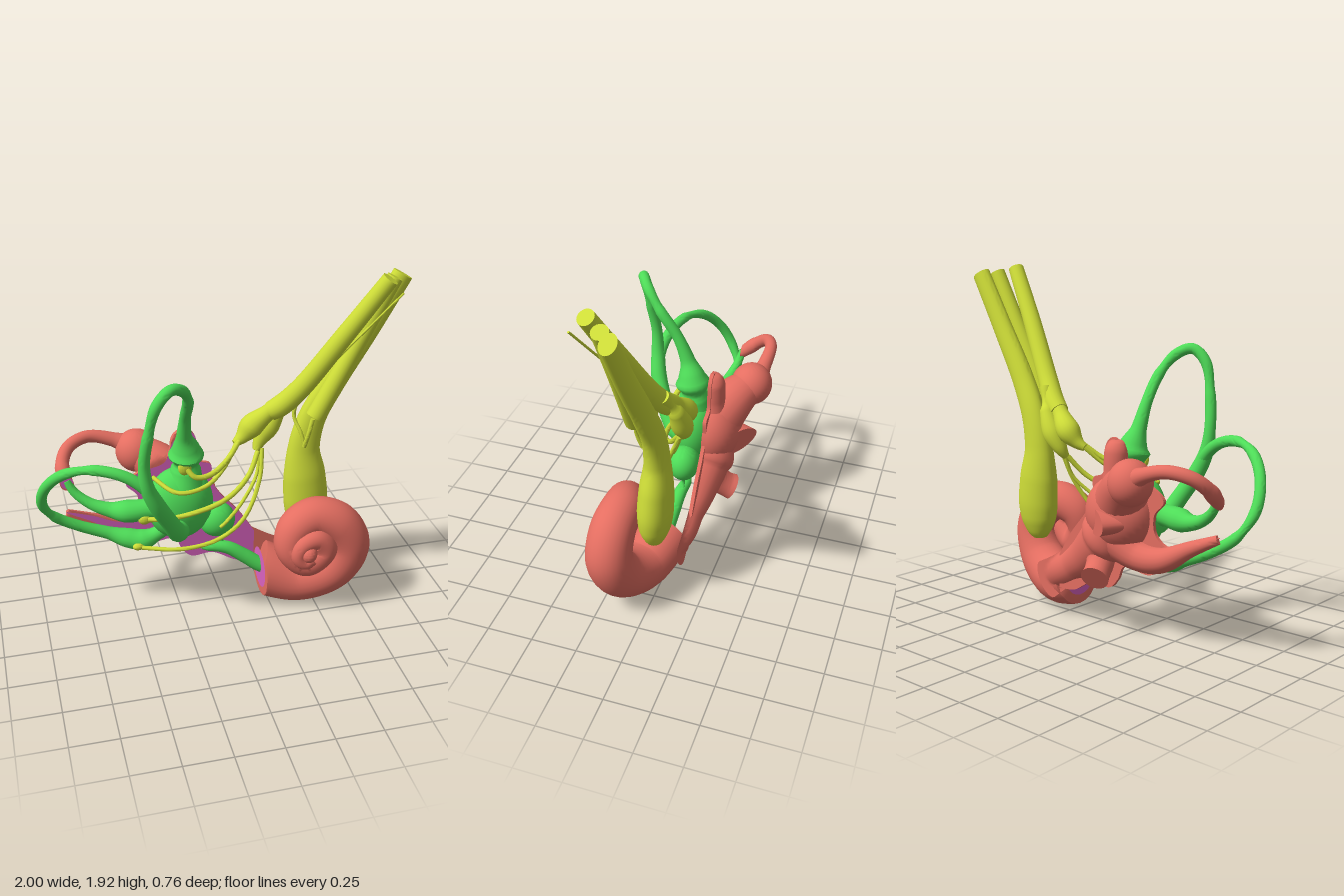
import * as THREE from 'three';
import { toCreasedNormals } from 'three/addons/utils/BufferGeometryUtils.js';

const bone = new THREE.MeshStandardMaterial({ color: 0xe46e61 });
bone.name = 'bone red';
const cutFace = new THREE.MeshStandardMaterial({ color: 0xdc64c2 });
cutFace.name = 'cut magenta';
const membrane = new THREE.MeshStandardMaterial({ color: 0x4edc58 });
membrane.name = 'membrane green';
const nerve = new THREE.MeshStandardMaterial({ color: 0xcedd38 });
nerve.name = 'nerve yellow';

const CUT_Z = -0.1, CUT_X = 0.21;
const behindCut = (v) => { v.z = Math.min(v.z, CUT_Z); };
const rightOfCut = (v) => { v.x = Math.max(v.x, CUT_X); };
const flatten = (v) => { v.z *= 0.74; };

// Moves every vertex by a rule, then smooths the normals but keeps sharp edges
function reshape(geo, rule, crease = 0.9) {
  const pos = geo.attributes.position, v = new THREE.Vector3();
  for (let i = 0; i < pos.count; i++) {
    v.fromBufferAttribute(pos, i);
    rule(v, i);
    pos.setXYZ(i, v.x, v.y, v.z);
  }
  return toCreasedNormals(geo, crease);
}

// Capped tube through [x, y, z, radius] stations
function sweep(stations, steps = 40, sides = 20, rule = null) {
  const path = new THREE.CatmullRomCurve3(stations.map((s) => new THREE.Vector3(s[0], s[1], s[2])));
  const radii = new THREE.CatmullRomCurve3(stations.map((s) => new THREE.Vector3(s[3], 0, 0)));
  const geo = new THREE.TubeGeometry(path, steps, 1, sides);
  const centres = [], sizes = [];
  for (let i = 0; i <= steps; i++) {
    const u = i / steps;
    centres.push(path.getPointAt(u));
    sizes.push(Math.max(0.001, radii.getPoint(path.getUtoTmapping(u)).x));
  }
  const last = steps;
  return reshape(geo, (v, i) => {
    const ring = Math.floor(i / (sides + 1));
    const end = ring === 0 || ring === last;
    v.sub(centres[ring]).multiplyScalar(end ? 0 : sizes[ring]);
    v.add(centres[ring === 0 ? 1 : ring === last ? last - 1 : ring]);
    if (rule) rule(v);
  });
}

function ellipsoid([x, y, z], [rx, ry, rz], rule = () => {}) {
  const geo = new THREE.SphereGeometry(1, 36, 24);
  geo.scale(rx, ry, rz).translate(x, y, z);
  return reshape(geo, rule);
}

export function createModel() {
  const model = new THREE.Group();
  const add = (name, geo, mat) => {
    const mesh = new THREE.Mesh(geo, mat);
    mesh.name = name;
    model.add(mesh);
    return mesh;
  };

  // Snail shell: a tapering spiral rising toward the front
  add('cochleaSpiral', sweep([
    [0.2, 0.2, 0.03, 0.155], [0.42, 0.138, 0.09, 0.138], [0.6, 0.22, 0.15, 0.13], [0.67, 0.38, 0.18, 0.125],
    [0.6, 0.52, 0.18, 0.12], [0.47, 0.57, 0.17, 0.11], [0.36, 0.52, 0.19, 0.1], [0.335, 0.42, 0.21, 0.09],
    [0.42, 0.33, 0.23, 0.085], [0.51, 0.41, 0.25, 0.075], [0.46, 0.485, 0.265, 0.062], [0.38, 0.47, 0.28, 0.052],
    [0.355, 0.41, 0.285, 0.046], [0.39, 0.365, 0.29, 0.043], [0.435, 0.395, 0.295, 0.04],
  ], 180, 28, rightOfCut), bone);
  add('cochleaApex', ellipsoid([0.405, 0.425, 0.305], [0.046, 0.05, 0.048]), bone);
  const shellCut = add('cochleaCutFace', new THREE.CircleGeometry(0.115, 32), cutFace);
  shellCut.rotation.y = -Math.PI / 2;
  shellCut.position.set(CUT_X - 0.004, 0.205, 0.045);

  // Bony shell behind the cutting plane
  add('vestibuleShell', ellipsoid([-0.22, 0.66, -0.1], [0.205, 0.2, 0.17], behindCut), bone);
  add('shellToCochlea', sweep([[-0.2, 0.6, -0.1, 0.14], [-0.1, 0.49, -0.09, 0.14], [0.03, 0.375, -0.075, 0.115],
    [0.13, 0.31, -0.06, 0.1], [0.22, 0.255, -0.05, 0.098], [0.34, 0.18, 0.03, 0.11]], 48, 24, behindCut), bone);
  add('lateralAmpullaShell', ellipsoid([-0.42, 0.87, -0.27], [0.115, 0.12, 0.115]), bone);
  add('lateralAmpullaNeck', sweep([[-0.24, 0.73, -0.12, 0.15], [-0.33, 0.82, -0.2, 0.12], [-0.42, 0.87, -0.27, 0.09]],
    20, 20, behindCut), bone);
  add('lateralCanalShell', sweep([[-0.43, 0.88, -0.29, 0.07], [-0.54, 0.93, -0.31, 0.04], [-0.68, 0.965, -0.31, 0.034],
    [-0.79, 0.94, -0.26, 0.035], [-0.835, 0.88, -0.19, 0.036], [-0.83, 0.82, -0.12, 0.036], [-0.82, 0.79, -0.07, 0.036]],
    50, 18, behindCut), bone);
  add('posteriorCanalShell', sweep([[-0.22, 0.52, -0.1, 0.13], [-0.36, 0.455, -0.12, 0.08], [-0.5, 0.46, -0.12, 0.066],
    [-0.68, 0.55, -0.11, 0.04], [-0.85, 0.63, -0.1, 0.022]], 40, 18, behindCut), bone);
  add('anteriorCanalShell', sweep([[-0.2, 0.75, -0.1, 0.11], [-0.195, 0.88, -0.11, 0.07], [-0.195, 0.98, -0.11, 0.066],
    [-0.19, 1.03, -0.1, 0.042], [-0.19, 1.05, -0.1, 0.01]], 30, 20, behindCut), bone);
  add('roundWindow', sweep([[-0.1, 0.45, -0.12, 0.1], [-0.125, 0.39, -0.16, 0.075], [-0.145, 0.345, -0.21, 0.07],
    [-0.16, 0.32, -0.25, 0.076]], 24, 24, behindCut), bone);
  const oval = new THREE.CylinderGeometry(1, 0.85, 0.14, 36);
  oval.rotateX(-Math.PI / 2).scale(0.15, 0.068, 1).rotateY(-0.57).translate(-0.21, 0.63, -0.2);
  add('ovalWindow', oval, bone);

  // Flat cut face and its red rim
  const outline = new THREE.Shape();
  outline.moveTo(0.21, 0.17);
  outline.splineThru([[0.1, 0.18], [-0.03, 0.25], [-0.15, 0.245], [-0.21, 0.3], [-0.26, 0.38], [-0.42, 0.365],
    [-0.55, 0.44], [-0.7, 0.55], [-0.84, 0.63], [-0.7, 0.59], [-0.55, 0.53], [-0.46, 0.58], [-0.45, 0.68],
    [-0.51, 0.76], [-0.43, 0.825], [-0.3, 0.865], [-0.25, 0.98], [-0.18, 1.05], [-0.125, 1.0], [-0.11, 0.86],
    [-0.04, 0.82], [-0.035, 0.72], [0.02, 0.62], [0.12, 0.5], [0.21, 0.36]].map((p) => new THREE.Vector2(...p)));
  const rim = new THREE.ExtrudeGeometry(outline, { depth: 0.02, curveSegments: 100, bevelEnabled: false });
  rim.translate(0, 0, CUT_Z - 0.021);
  add('shellRim', toCreasedNormals(rim, 0.7), bone);
  const face = new THREE.ShapeGeometry(outline, 100);
  face.translate(0, 0, CUT_Z + 0.003);
  add('shellCutFace', face, cutFace);
  const canalFace = new THREE.CircleGeometry(0.034, 24);
  canalFace.translate(-0.825, 0.81, CUT_Z + 0.003);
  add('lateralCanalCutFace', canalFace, cutFace);

  // Membranous sacs
  add('utricle', ellipsoid([-0.235, 0.66, -0.01], [0.183, 0.212, 0.128]), membrane);
  add('saccule', ellipsoid([-0.03, 0.53, 0], [0.1, 0.1, 0.085]), membrane);
  add('sacculeNeck', sweep([[-0.18, 0.62, 0, 0.09], [-0.1, 0.58, 0, 0.065], [-0.03, 0.53, 0, 0.065]], 16, 16), membrane);

  // Membranous canals
  add('anteriorCanal', sweep([[-0.21, 0.76, 0, 0.11], [-0.2, 0.88, 0, 0.08], [-0.2, 0.98, 0.01, 0.08],
    [-0.215, 1.08, 0.04, 0.042], [-0.22, 1.22, 0.1, 0.03], [-0.225, 1.36, 0.2, 0.029], [-0.27, 1.455, 0.28, 0.029],
    [-0.34, 1.485, 0.33, 0.029], [-0.41, 1.42, 0.35, 0.029], [-0.455, 1.25, 0.335, 0.029], [-0.475, 1.08, 0.31, 0.03],
    [-0.46, 0.95, 0.3, 0.038], [-0.41, 0.83, 0.28, 0.045], [-0.35, 0.71, 0.23, 0.046], [-0.29, 0.59, 0.16, 0.05],
    [-0.25, 0.54, 0.08, 0.05]], 120, 18), membrane);
  add('posteriorCanal', sweep([[-0.4, 0.81, 0.27, 0.035], [-0.45, 0.92, 0.29, 0.034], [-0.56, 1.01, 0.27, 0.03],
    [-0.72, 1.045, 0.22, 0.028], [-0.86, 1.0, 0.15, 0.028], [-0.95, 0.89, 0.07, 0.028], [-0.97, 0.76, 0, 0.028],
    [-0.91, 0.64, -0.06, 0.028], [-0.78, 0.55, -0.08, 0.03], [-0.62, 0.48, -0.08, 0.036], [-0.52, 0.445, -0.06, 0.055],
    [-0.44, 0.435, -0.04, 0.058], [-0.36, 0.47, -0.03, 0.04], [-0.28, 0.54, -0.02, 0.05]], 110, 18), membrane);
  add('lateralCanal', sweep([[-0.83, 0.83, -0.11, 0.02], [-0.79, 0.755, -0.09, 0.024], [-0.71, 0.69, -0.06, 0.03],
    [-0.61, 0.655, -0.03, 0.042], [-0.52, 0.65, 0, 0.062], [-0.43, 0.655, 0.01, 0.058], [-0.32, 0.66, 0, 0.08]],
    50, 18), membrane);

  // Duct that leads into the spiral
  add('cochlearDuct', sweep([[-0.13, 0.36, 0, 0.008], [-0.08, 0.36, 0, 0.028], [0.02, 0.345, 0.01, 0.036],
    [0.12, 0.28, 0.02, 0.04], [0.2, 0.22, 0.03, 0.042], [0.27, 0.18, 0.04, 0.04]], 40, 16), membrane);
  add('reuniensDuct', sweep([[0, 0.46, 0, 0.015], [-0.01, 0.41, 0, 0.01], [0.01, 0.35, 0, 0.012]], 12, 10), membrane);

  // Thick nerve trunks; the cochlear one is flattened and ends in a bulb
  add('cochlearNerve', sweep([[0.958, 1.88, 0.02, 0.056], [0.77, 1.56, 0.015, 0.062], [0.6, 1.28, 0, 0.07],
    [0.5, 1.08, -0.02, 0.078], [0.462, 0.9, -0.025, 0.09], [0.47, 0.74, -0.02, 0.118], [0.48, 0.6, -0.015, 0.125],
    [0.48, 0.5, -0.01, 0.113], [0.477, 0.42, -0.005, 0.075], [0.475, 0.385, 0, 0.04], [0.475, 0.37, 0, 0.005]],
    80, 26, flatten), nerve);
  add('facialNerve', sweep([[0.89, 1.89, 0.078, 0.042], [0.7, 1.54, 0.08, 0.045], [0.47, 1.12, 0.09, 0.05]], 40, 20), nerve);
  add('vestibularNerve', sweep([[0.828, 1.91, 0.17, 0.043], [0.62, 1.59, 0.1, 0.05], [0.42, 1.28, 0.02, 0.055],
    [0.33, 1.17, -0.025, 0.058], [0.26, 1.12, -0.05, 0.05]], 50, 20), nerve);
  add('upperGanglion', sweep([[0.36, 1.22, -0.01, 0.04], [0.26, 1.12, -0.05, 0.045], [0.18, 1.04, -0.075, 0.064],
    [0.12, 0.98, -0.065, 0.036], [0.07, 0.95, -0.05, 0.015]], 30, 18), nerve);
  add('lowerGanglion', sweep([[0.4, 1.26, -0.02, 0.04], [0.34, 1.14, -0.075, 0.04], [0.28, 1.02, -0.09, 0.058],
    [0.23, 0.94, -0.085, 0.038], [0.2, 0.88, -0.06, 0.014]], 30, 18), nerve);

  // Fine nerve branches: [radius, path]
  const branches = {
    anteriorAmpullaNerve: [0.015, [[0.11, 0.98, -0.05], [0.02, 0.9, 0.02], [-0.08, 0.86, 0.08], [-0.17, 0.865, 0.1], [-0.22, 0.92, 0.07]]],
    lateralAmpullaNerve: [0.012, [[0.1, 0.97, -0.06], [0, 0.86, 0.03], [-0.12, 0.8, 0.1], [-0.27, 0.79, 0.11], [-0.39, 0.84, -0.02]]],
    utricleNerve: [0.014, [[0.22, 0.91, -0.06], [0.14, 0.79, 0.02], [0, 0.71, 0.1], [-0.2, 0.66, 0.125], [-0.36, 0.63, 0.09], [-0.44, 0.62, 0.06]]],
    sacculeNerve: [0.01, [[0.22, 0.92, -0.07], [0.2, 0.78, -0.02], [0.1, 0.66, 0.06], [0, 0.56, 0.09], [-0.04, 0.52, 0.085]]],
    posteriorAmpullaNerve: [0.012, [[0.24, 0.93, -0.07], [0.21, 0.75, 0], [0.1, 0.56, 0.08], [-0.05, 0.46, 0.1], [-0.25, 0.43, 0.1], [-0.48, 0.425, 0.02]]],
    linkNerve: [0.01, [[0.42, 1.26, 0.03], [0.39, 1.12, 0.01], [0.42, 1.03, 0.05], [0.44, 0.95, 0.065]]],
    shortNerve: [0.012, [[0.47, 1.13, 0.09], [0.45, 1.04, 0.09], [0.435, 0.95, 0.065]]],
    wireNerve: [0.006, [[0.875, 1.85, 0.235], [0.74, 1.66, 0.16], [0.6, 1.47, 0.09], [0.46, 1.28, 0.04]]],
  };
  for (const [name, [r, pts]] of Object.entries(branches)) {
    add(name, sweep(pts.map((p) => [...p, r]), 40, 10), nerve);
  }
  // Flattened nerve endings on the ampullae
  [[-0.22, 0.915, 0.07, 0.036, 0.046], [-0.44, 0.62, 0.055, 0.036, 0.03], [-0.475, 0.425, 0.012, 0.03, 0.02]]
    .forEach(([x, y, z, w, h], i) =>
      add('nerveEnding' + (i + 1), ellipsoid([x, y, z], [w, h, 0.02]), nerve));

  return model;
}
